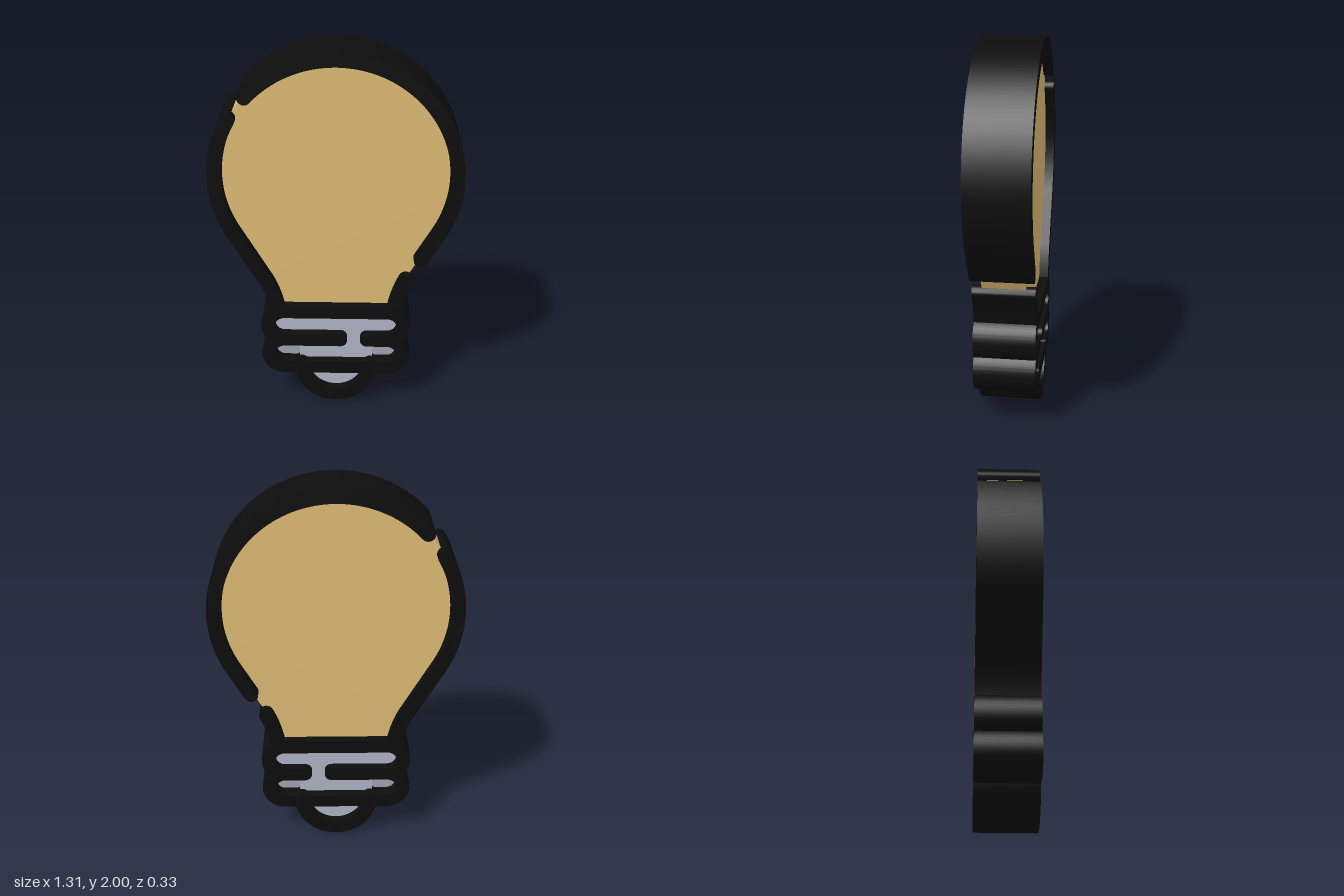
import * as THREE from 'three';
import { toCreasedNormals } from 'three/addons/utils/BufferGeometryUtils.js';

const HALF_WIDTH = 0.037;   // half thickness of the outline strokes
const STROKE_DEPTH = 0.326;
const FILL_DEPTH = 0.226;
const RAD = Math.PI / 180;

const black = new THREE.MeshStandardMaterial({ color: 0x0d0d0d });
const amber = new THREE.MeshStandardMaterial({ color: 0xdfbc75 });
const silver = new THREE.MeshStandardMaterial({ color: 0xafb4c6 });
const darkSilver = new THREE.MeshStandardMaterial({ color: 0xa0a5b5 });

// Extrude a flat shape, centred on z = 0
function slab(name, shape, depth, material) {
  let geometry = new THREE.ExtrudeGeometry(shape, { depth, bevelEnabled: false, curveSegments: 64 });
  geometry.translate(0, 0, -depth / 2);
  geometry = toCreasedNormals(geometry, 0.6);
  const mesh = new THREE.Mesh(geometry, material);
  mesh.name = name;
  return mesh;
}

// Thicken a centre line into a round-ended stroke
function stroke(name, path) {
  const pts = path.getPoints(40);
  const n = pts.length;
  const dir = (a, b) => b.clone().sub(a).normalize();
  const angles = pts.map((p, i) => {
    const t = new THREE.Vector2();
    if (i > 0) t.add(dir(pts[i - 1], p));
    if (i < n - 1) t.add(dir(p, pts[i + 1]));
    return t.angle();
  });
  const around = (i, a) => new THREE.Vector2(
    pts[i].x + HALF_WIDTH * Math.cos(a), pts[i].y + HALF_WIDTH * Math.sin(a));
  const outline = [];
  for (let i = 0; i < n; i++) outline.push(around(i, angles[i] + Math.PI / 2));
  for (let k = 1; k < 12; k++) outline.push(around(n - 1, angles[n - 1] + Math.PI / 2 - k * Math.PI / 12));
  for (let i = n - 1; i >= 0; i--) outline.push(around(i, angles[i] - Math.PI / 2));
  for (let k = 1; k < 12; k++) outline.push(around(0, angles[0] - Math.PI / 2 - k * Math.PI / 12));
  return slab(name, new THREE.Shape(outline), STROKE_DEPTH, black);
}

function rectangle(x0, x1, y0, y1) {
  return new THREE.Shape([[x0, y0], [x1, y0], [x1, y1], [x0, y1]].map(([x, y]) => new THREE.Vector2(x, y)));
}

export function createModel() {
  const model = new THREE.Group();
  model.name = 'lightBulb';

  // Glass bulb: round top, sloping shoulders and a curved neck
  const cy = 1.345, r = 0.618;
  const glass = new THREE.Shape();
  glass.absarc(0, cy, r, -30 * RAD, 210 * RAD, false);
  glass.lineTo(-0.376, 0.76);
  glass.quadraticCurveTo(-0.33, 0.68, -0.31, 0.57);
  glass.lineTo(0.31, 0.57);
  glass.quadraticCurveTo(0.33, 0.68, 0.376, 0.76);
  glass.closePath();
  model.add(slab('glass', glass, FILL_DEPTH, amber));

  // Bulb outline in three strokes, leaving two gaps
  const dome = new THREE.Path();
  dome.absarc(0, cy, r, 136.6 * RAD, -30 * RAD, true);
  dome.lineTo(0.447, 0.885);
  const leftSide = new THREE.Path();
  leftSide.absarc(0, cy, r, 150.3 * RAD, 210 * RAD, false);
  leftSide.lineTo(-0.376, 0.76);
  leftSide.quadraticCurveTo(-0.33, 0.68, -0.31, 0.57);
  const neck = new THREE.Path();
  neck.moveTo(0.372, 0.76);
  neck.quadraticCurveTo(0.33, 0.68, 0.31, 0.57);
  model.add(stroke('domeOutline', dome), stroke('sideOutline', leftSide), stroke('neckOutline', neck));

  // Screw base: two stacked rounded rings sharing a broken middle bar
  const ex = 0.28, er = 0.0875, topY = 0.477, lowY = 0.302, midY = topY - er;
  const upper = new THREE.Path();
  upper.moveTo(0.17, midY);
  upper.lineTo(ex, midY);
  upper.absarc(ex, topY, er, -Math.PI / 2, Math.PI / 2, false);
  upper.lineTo(-ex, topY + er);
  upper.absarc(-ex, topY, er, Math.PI / 2, Math.PI * 1.5, false);
  upper.lineTo(0.025, midY);
  const lower = new THREE.Path();
  lower.absarc(-ex, lowY, er, Math.PI / 2, Math.PI * 1.5, false);
  lower.lineTo(ex, lowY - er);
  lower.absarc(ex, lowY, er, -Math.PI / 2, Math.PI / 2, false);
  model.add(stroke('upperThreadOutline', upper), stroke('lowerThreadOutline', lower));

  // Metal fill of the base
  const upperFill = new THREE.Shape();
  upperFill.absarc(ex, topY, er, -Math.PI / 2, Math.PI / 2, false);
  upperFill.absarc(-ex, topY, er, Math.PI / 2, Math.PI * 1.5, false);
  upperFill.closePath();
  model.add(slab('upperThread', upperFill, FILL_DEPTH, silver));
  model.add(slab('lowerThread', rectangle(-0.2, 0.2, lowY - er, midY), FILL_DEPTH, silver));
  for (const side of [-1, 1]) {
    const end = new THREE.Shape();
    end.moveTo(side * 0.2, lowY - er);
    end.lineTo(side * ex, lowY - er);
    end.absarc(side * ex, lowY, er, -Math.PI / 2, Math.PI / 2, side < 0);
    end.lineTo(side * 0.2, midY);
    end.closePath();
    model.add(slab(side > 0 ? 'leftThreadEnd' : 'rightThreadEnd', end, 0.17, darkSilver));
  }

  // Rounded contact at the bottom
  const tipY = 0.225, tipR = tipY - HALF_WIDTH;
  const tipLine = new THREE.Path();
  tipLine.absarc(0, tipY, tipR, Math.PI, Math.PI * 2, false);
  const tip = new THREE.Shape();
  tip.absarc(0, tipY, tipR, Math.PI * 1.03, Math.PI * 1.97, false);
  tip.closePath();
  model.add(stroke('contactOutline', tipLine), slab('contact', tip, FILL_DEPTH, silver));

  return model;
}
